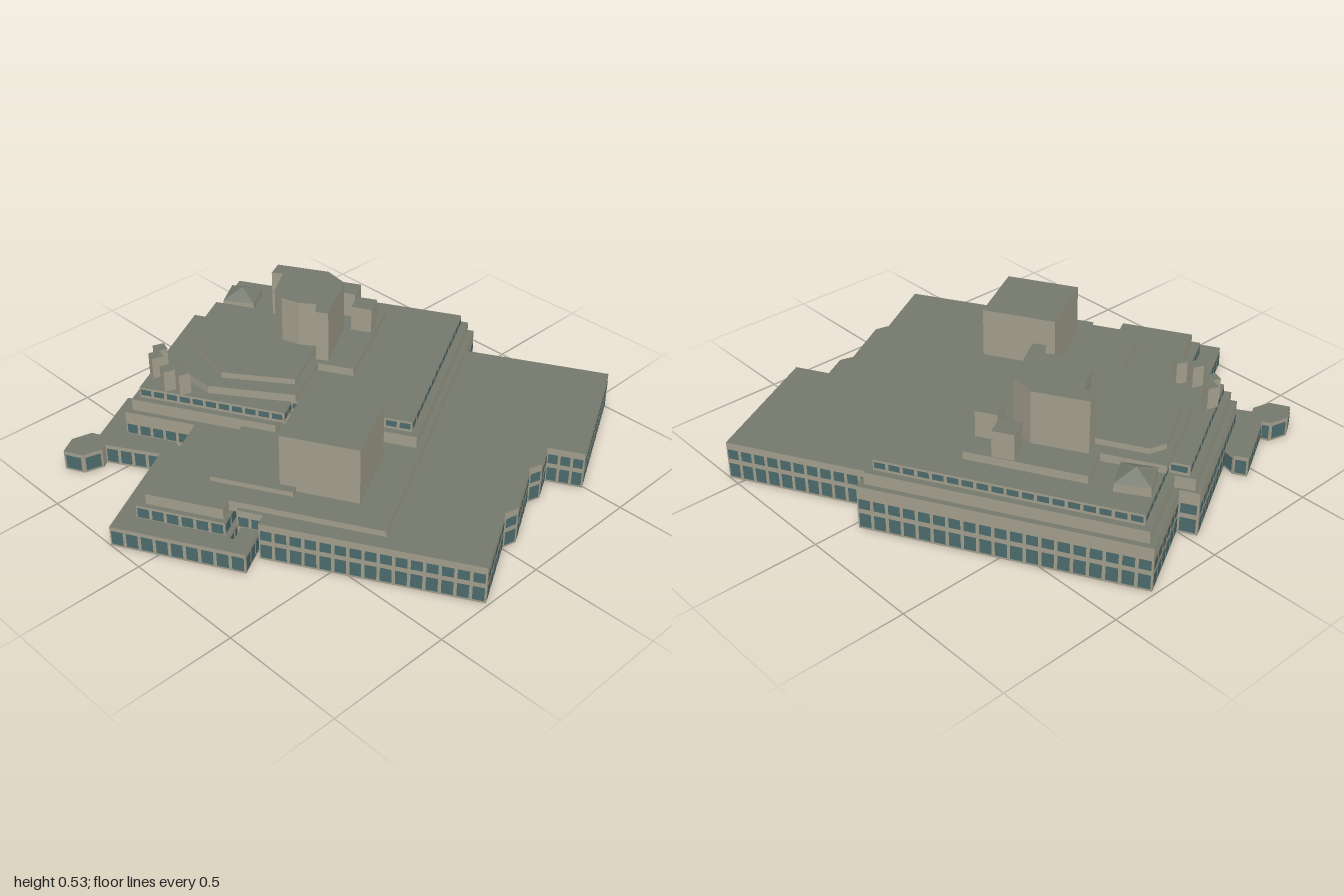
import * as THREE from 'three';
import { mergeGeometries } from 'three/addons/utils/BufferGeometryUtils.js';

const material = (name, color) => Object.assign(new THREE.MeshStandardMaterial({ color }), { name });
const wall = material('stone wall', 0xa29e8d);
const roof = material('grey roof', 0x75796d);
const glass = material('window glass', 0x4c6a6b);

// Window rows: [bottom, top]
const LOWER = [0.01, 0.07];
const UPPER = [0.09, 0.132];
const ATTIC = [0.247, 0.272];

// Plans are lists of [x, z] corners along the building's own axes
const rect = (x0, z0, x1, z1) => [[x0, z0], [x1, z0], [x1, z1], [x0, z1]];

// Stepped plan of the north block, drawn in by d on every side
const stepped = (d) => [
  [-0.25 + d, -0.797 + d], [0.39 - d / 2, -0.797 + d], [0.39 - d / 2, -0.72 + d],
  [0.74 - d, -0.72 + d], [0.74 - d, 0.37 - d], [-0.165 + d, 0.37 - d],
  [-0.165 + d, -0.205 + d], [-0.25 + d, -0.205 + d],
];

const toShape = (plan) => new THREE.Shape(plan.map(([x, z]) => new THREE.Vector2(x, -z)));

// Solid with a flat plan; caps take the roof colour, sides the wall colour
function prism(plan, bottom, top) {
  const g = new THREE.ExtrudeGeometry(toShape(plan), { depth: top - bottom, bevelEnabled: false });
  g.rotateX(-Math.PI / 2);
  g.translate(0, bottom, 0);
  return new THREE.Mesh(g, [roof, wall]);
}

// Evenly spaced panes along every facade of a plan
function windowRow(plan, [y0, y1]) {
  const outward = THREE.ShapeUtils.area(toShape(plan).getPoints()) > 0;
  const pts = outward ? plan : [...plan].reverse();
  const panes = [];
  pts.forEach(([ax, az], i) => {
    const [bx, bz] = pts[(i + 1) % pts.length];
    const dx = bx - ax, dz = bz - az, len = Math.hypot(dx, dz);
    if (len < 0.035) return;
    const n = Math.max(1, Math.round(len / 0.056));
    const nx = -dz / len, nz = dx / len;
    for (let k = 0; k < n; k++) {
      const t = (k + 0.5) / n;
      const pane = new THREE.PlaneGeometry((len / n) * 0.78, y1 - y0);
      pane.rotateY(Math.atan2(nx, nz));
      pane.translate(ax + dx * t + nx * 0.002, (y0 + y1) / 2, az + dz * t + nz * 0.002);
      panes.push(pane);
    }
  });
  return new THREE.Mesh(mergeGeometries(panes), glass);
}

export function createModel() {
  const model = new THREE.Group();
  model.name = 'culturalCentre';
  const building = new THREE.Group();
  building.name = 'building';
  building.rotation.y = 0.496; // turned on its site
  model.add(building);

  const add = (name, mesh) => {
    mesh.name = name;
    building.add(mesh);
    return mesh;
  };
  const volume = (name, bottom, top, plan, ...rows) => {
    add(name, prism(plan, bottom, top));
    for (const row of rows) add(name + 'Windows', windowRow(plan, row));
  };
  const block = (name, x, z, width, bottom, top, turn) => {
    const g = new THREE.BoxGeometry(width, top - bottom, width);
    const b = add(name, new THREE.Mesh(g, [wall, wall, roof, roof, wall, wall]));
    b.position.set(x, (bottom + top) / 2, z);
    b.rotation.y = turn;
  };

  // South block with its stepped front
  volume('southBlock', 0, 0.16, [
    [-0.71, -0.08], [-0.66, -0.08], [-0.66, -0.18], [-0.44, -0.18], [-0.44, -0.505],
    [0, -0.505], [0, 0.2], [0.615, 0.2], [0.615, 0.963], [0.04, 0.96], [0.04, 0.815],
    [-0.07, 0.815], [-0.11, 0.775], [-0.35, 0.78], [-0.395, 0.74], [-0.7, 0.746],
  ], LOWER, UPPER);

  // North block and the tiers above it
  volume('northBlock', 0, 0.185, stepped(0), LOWER, UPPER);
  volume('southTerrace', 0.14, 0.185, rect(-0.645, -0.505, 0, 0.372));
  volume('thirdStorey', 0.185, 0.235, stepped(0.022));
  volume('atticStorey', 0.235, 0.28, stepped(0.048), ATTIC);

  // West wing, stepping up towards the middle
  volume('westWing', 0, 0.085, [
    [-0.8, -0.62], [-0.34, -0.62], [-0.3, -0.545], [-0.44, -0.545], [-0.44, -0.185],
    [-0.73, -0.19], [-0.73, -0.165], [-0.66, -0.165], [-0.66, -0.097], [-0.8, -0.097],
  ], LOWER);
  volume('westWingUpper', 0.085, 0.14, rect(-0.72, -0.547, -0.44, -0.203), UPPER);
  volume('westTerrace', 0.14, 0.185, rect(-0.7, -0.515, -0.44, -0.215));

  // Low link with an angular pavilion at its end
  volume('entrancePavilion', 0, 0.085, [
    [-0.434, -0.983], [-0.353, -0.987], [-0.292, -0.93], [-0.294, -0.895],
    [-0.35, -0.846], [-0.38, -0.845], [-0.437, -0.9],
  ], LOWER);
  volume('entranceLink', 0, 0.085, [
    [-0.294, -0.895], [-0.026, -0.895], [-0.025, -0.84], [-0.07, -0.79],
    [-0.25, -0.78], [-0.25, -0.592], [-0.3, -0.545], [-0.34, -0.617], [-0.35, -0.846],
  ], LOWER);

  // Small hall
  volume('hallPlinth', 0.185, 0.205, rect(-0.558, -0.32, -0.23, 0));
  volume('hallTower', 0.185, 0.42, rect(-0.525, -0.062, -0.218, 0.24));

  // Large auditorium
  volume('upperPlatform', 0.28, 0.313, [
    [-0.1, -0.59], [0.01, -0.68], [0.44, -0.68], [0.44, -0.44], [0.586, -0.44],
    [0.586, 0.022], [0.118, 0.022], [0.118, -0.125], [-0.12, -0.137], [-0.16, -0.48],
  ]);
  volume('auditoriumRoof', 0.313, 0.337, [
    [0.095, -0.647], [0.34, -0.655], [0.39, -0.605], [0.39, -0.36],
    [0.2, -0.158], [-0.052, -0.162], [-0.09, -0.45],
  ]);
  volume('stageTower', 0.313, 0.53, [
    [0.206, -0.302], [0.256, -0.348], [0.39, -0.36], [0.385, -0.406], [0.456, -0.404],
    [0.46, -0.188], [0.395, -0.102], [0.146, -0.09], [0.143, -0.14], [0.2, -0.158], [0.19, -0.226],
  ]);

  // Rooftop shafts and vents
  block('liftShaft', 0.54, -0.128, 0.085, 0.313, 0.42, 0);
  block('liftShaft', 0.44, -0.03, 0.085, 0.313, 0.42, 0);
  for (const [x, z] of [[-0.04, -0.726], [-0.096, -0.72], [-0.17, -0.64], [-0.175, -0.575]])
    block('ventStack', x, z, 0.046, 0.28, 0.37, -0.85);

  // Pyramid skylight
  block('skylightBase', 0.53, -0.594, 0.132, 0.28, 0.315, 0.08);
  const cone = new THREE.ConeGeometry(0.132 * Math.SQRT1_2, 0.037, 4).toNonIndexed();
  cone.computeVertexNormals();
  const pyramid = add('pyramidSkylight', new THREE.Mesh(cone, roof));
  pyramid.position.set(0.53, 0.3335, -0.594);
  pyramid.rotation.y = 0.08 + Math.PI / 4;

  return model;
}
